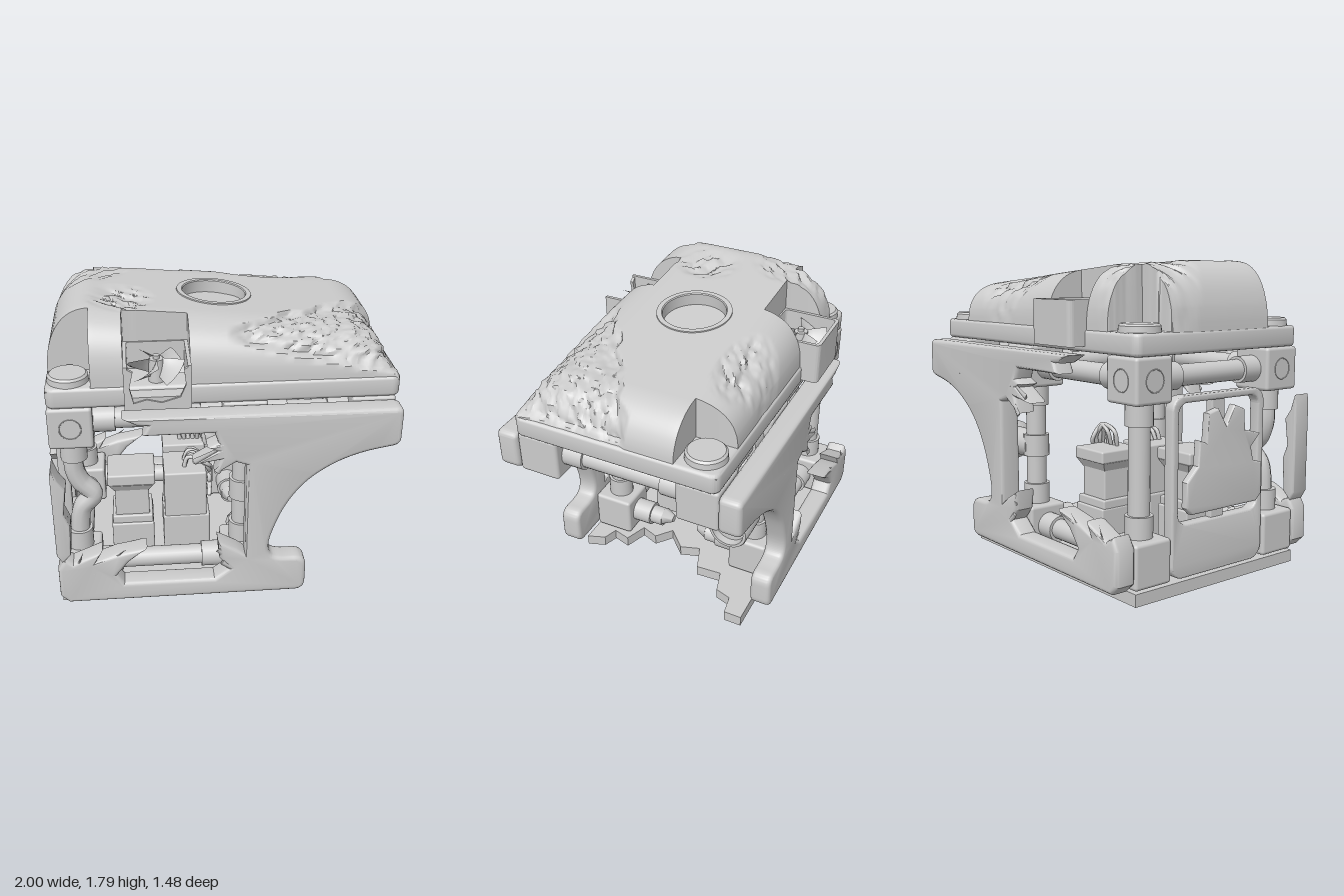
import * as THREE from 'three';
import { toCreasedNormals } from 'three/addons/utils/BufferGeometryUtils.js';
import { RoundedBoxGeometry } from 'three/addons/geometries/RoundedBoxGeometry.js';

const mat = new THREE.MeshStandardMaterial({ color: 0xcccccc, side: THREE.DoubleSide });
const V = (x, y, z) => new THREE.Vector3(x, y, z);
const points = (list) => list.map((p) => new THREE.Vector2(p[0], p[1]));
const clamp = (v) => Math.min(1, Math.max(0, v));
const hash = (i, j) => { const s = Math.sin(i * 127.1 + j * 311.7) * 43758.5453; return s - Math.floor(s); };

// smooth lattice noise, 0 to 1
function noise(x, y) {
  const i = Math.floor(x), j = Math.floor(y), u = x - i, v = y - j;
  const mix = THREE.MathUtils.lerp;
  return mix(mix(hash(i, j), hash(i + 1, j), u), mix(hash(i, j + 1), hash(i + 1, j + 1), u), v);
}

export function createModel() {
  const root = new THREE.Group();
  root.name = 'damagedFrameMachine';

  const add = (geo, name, x = 0, y = 0, z = 0, parent = root) => {
    const m = new THREE.Mesh(geo, mat);
    m.name = name;
    m.position.set(x, y, z);
    parent.add(m);
    return m;
  };
  const box = (name, w, h, d, x, y, z, r = 0.02) => add(new RoundedBoxGeometry(w, h, d, 2, r), name, x, y, z);
  const poly = (pts) => new THREE.Shape(points(pts));
  const lathe = (pts, n) => toCreasedNormals(new THREE.LatheGeometry(points(pts), n), 0.6);
  const roundRect = (x0, y0, x1, y1, r) => {
    const s = new THREE.Shape();
    s.absarc(x1 - r, y1 - r, r, 0, Math.PI / 2);
    s.absarc(x0 + r, y1 - r, r, Math.PI / 2, Math.PI);
    s.absarc(x0 + r, y0 + r, r, Math.PI, Math.PI * 1.5);
    s.absarc(x1 - r, y0 + r, r, Math.PI * 1.5, Math.PI * 2);
    return s;
  };
  // extrusion from z = 0 to z = depth, bevel kept inside the outline
  const extrude = (shape, depth, b = 0) => {
    const g = new THREE.ExtrudeGeometry(shape, {
      depth: depth - 2 * b, bevelEnabled: b > 0, bevelThickness: b, bevelSize: b, bevelOffset: -b, bevelSegments: 3, curveSegments: 12,
    });
    return toCreasedNormals(g.translate(0, 0, b), 0.6);
  };
  const rod = (a, b, r, name) => {
    const d = b.clone().sub(a);
    const m = add(new THREE.CylinderGeometry(r, r, d.length(), 24), name);
    m.position.copy(a).add(b).multiplyScalar(0.5);
    m.quaternion.setFromUnitVectors(V(0, 1, 0), d.normalize());
  };
  // pipe with a collar at each end
  const pipe = (a, b, name) => {
    rod(a, b, 0.06, name);
    const d = b.clone().sub(a).normalize().multiplyScalar(0.12);
    rod(a, a.clone().add(d), 0.077, name + 'Collar');
    rod(b.clone().sub(d), b, 0.077, name + 'Collar');
  };
  const tube = (pts, r, name) => add(new THREE.TubeGeometry(new THREE.CatmullRomCurve3(pts), 32, r, 10), name);

  // floor plate with a snapped-off end
  const floor = poly([[-0.96, -0.61], [0.4, -0.61], [0.36, -0.5], [0.27, -0.47], [0.3, -0.36], [0.16, -0.31], [0.2, -0.2], [0.1, -0.12],
    [0.22, 0], [0.18, 0.12], [0.34, 0.18], [0.33, 0.34], [0.47, 0.38], [0.5, 0.48], [0.62, 0.5], [0.62, 0.61], [-0.96, 0.61]]);
  add(extrude(floor, 0.07).rotateX(-Math.PI / 2), 'floorPlate');

  // curved side panels with torn edges
  const side = new THREE.Shape();
  side.moveTo(-0.91, 0.08);
  side.lineTo(0.43, 0.08);
  side.quadraticCurveTo(0.495, 0.08, 0.495, 0.15);
  side.lineTo(0.495, 0.25);
  side.quadraticCurveTo(0.495, 0.325, 0.42, 0.325);
  side.lineTo(0.35, 0.325);
  side.splineThru(points([[0.29, 0.345], [0.268, 0.41], [0.29, 0.52], [0.36, 0.69], [0.47, 0.84], [0.62, 0.95], [0.78, 1.015], [0.95, 1.05]]));
  side.quadraticCurveTo(0.995, 1.06, 0.995, 1.1);
  side.lineTo(0.995, 1.25);
  side.quadraticCurveTo(0.995, 1.29, 0.95, 1.29);
  [[-0.55, 1.29], [-0.46, 1.24], [-0.41, 1.24], [-0.44, 1.18], [-0.05, 1.18], [-0.03, 1.12], [-0.09, 1.09], [-0.04, 1.07], [-0.17, 0.99],
    [-0.02, 1.01], [-0.05, 0.92], [0.07, 0.99], [0.13, 0.97], [0.13, 0.36], [0.08, 0.4], [-0.03, 0.46], [-0.02, 0.34], [0.04, 0.27], [-0.05, 0.2],
    [-0.58, 0.2], [-0.62, 0.26], [-0.55, 0.35], [-0.44, 0.44], [-0.62, 0.41], [-0.74, 0.36], [-0.7, 0.43], [-0.87, 0.36], [-0.92, 0.39],
    [-0.96, 0.32], [-0.96, 0.13]].forEach((p) => side.lineTo(...p));
  for (const s of [1, -1]) {
    add(extrude(side, 0.13, 0.025), 'sidePanel', 0, 0, s > 0 ? 0.61 : -0.74);
    // splinters along the tears
    [[-0.05, 1.07, 0.5], [0.02, 1.01, 0.9], [0.1, 1.13, 0.6], [-0.78, 0.28, 0.4], [-0.66, 0.36, 0.7], [-0.85, 0.33, 1.2], [0.06, 0.3, -0.9],
      [0.1, 0.23, -0.7], [0.45, 1.1, 0.6], [0.7, 1.14, 0.45]].forEach(([x, y, a], i) => {
      const m = add(new THREE.ConeGeometry(0.02, 0.18 + 0.1 * hash(i, s), 4), 'splinter', x, y, s * 0.733);
      m.rotation.z = a - Math.PI / 2;
      m.scale.z = 0.4;
    });
  }
  const shard = poly([[-0.96, 0.42], [-0.93, 0.37], [-0.88, 0.42], [-0.87, 0.62], [-0.9, 0.7], [-0.88, 0.86], [-0.92, 0.92], [-0.95, 1.01], [-0.96, 0.95]]);
  add(extrude(shard, 0.12, 0.01), 'panelShard', 0, 0, 0.615);

  // corner blocks, rails and posts
  const mid = 0.135;
  for (const s of [1, -1]) {
    const z = 0.485 * s;
    for (const [x, y] of [[-0.835, 1.175], [mid, 1.175], [0.855, 1.175], [-0.835, 0.205], [mid, 0.205]]) {
      box('jointBlock', 0.25, 0.25, 0.25, x, y, z);
      add(new THREE.TorusGeometry(0.06, 0.003, 6, 28), 'jointRing', x, y, s * 0.61);
    }
    const ring = add(new THREE.TorusGeometry(0.06, 0.003, 6, 28), 'jointRing', -0.96, 1.175, z);
    ring.rotation.y = Math.PI / 2;
    pipe(V(-0.71, 1.175, z), V(mid - 0.125, 1.175, z), 'upperRail');
    pipe(V(mid + 0.125, 1.175, z), V(0.73, 1.175, z), 'upperRail');
    pipe(V(-0.71, 0.205, z), V(mid - 0.125, 0.205, z), 'lowerRail');
    pipe(V(mid, 0.33, z), V(mid, 1.05, z), 'middlePost');
    rod(V(mid, 0.62, z), V(mid, 0.75, z), 0.078, 'postSleeve');
    // snapped lower cross rail
    rod(V(mid, 0.205, s * 0.36), V(mid, 0.205, s * 0.24), 0.075, 'brokenRailCollar');
    rod(V(mid, 0.205, s * 0.24), V(mid, 0.205, s * 0.16), 0.06, 'brokenRail');
    const tip = add(new THREE.CylinderGeometry(0.025, 0.06, 0.07, 6), 'brokenRailTip', mid, 0.215, s * 0.125);
    tip.rotation.x = -s * Math.PI / 2;
  }
  for (const x of [-0.835, mid, 0.855]) pipe(V(x, 1.175, -0.36), V(x, 1.175, 0.36), 'upperCrossRail');
  pipe(V(-0.835, 0.205, -0.36), V(-0.835, 0.205, 0.36), 'lowerCrossRail');
  pipe(V(-0.835, 0.33, -0.485), V(-0.835, 1.05, -0.485), 'rearPost');
  rod(V(-0.835, 0.93, 0.485), V(-0.835, 1.05, 0.485), 0.077, 'bentPostCollar');
  rod(V(-0.835, 0.33, 0.485), V(-0.835, 0.45, 0.485), 0.077, 'bentPostCollar');
  tube([V(-0.835, 1, 0.485), V(-0.84, 0.86, 0.485), V(-0.81, 0.77, 0.485), V(-0.74, 0.68, 0.485), V(-0.81, 0.59, 0.485), V(-0.835, 0.4, 0.485)], 0.058, 'bentPost');

  // lamp on one middle post, snapped mount on the other
  const lamp = [[0, 0], [0.085, 0], [0.085, 0.2], [0.12, 0.23], [0.12, 0.425], [0.115, 0.435], [0.098, 0.435], [0.095, 0.39], [0, 0.39]];
  add(lathe(lamp, 40).rotateZ(-Math.PI / 2), 'lamp', mid, 0.68, -0.485);
  rod(V(mid, 0.68, 0.485), V(0.23, 0.68, 0.485), 0.055, 'lampMount');

  // window frame at the end, with broken pane
  const frame = roundRect(-0.35, 0.08, 0.35, 1.08, 0.08);
  frame.holes.push(roundRect(-0.305, 0.38, 0.305, 1.04, 0.06));
  add(extrude(frame, 0.07, 0.01).rotateY(Math.PI / 2), 'endFrame', -0.95);
  const pane = poly([[-0.25, 0.44], [0.25, 0.44], [0.29, 0.48], [0.29, 0.62], [0.21, 0.7], [0.2, 0.84], [0.15, 0.82], [0.14, 0.98], [0.06, 1],
    [0, 0.9], [-0.06, 1.01], [-0.14, 0.98], [-0.15, 0.86], [-0.27, 0.83], [-0.2, 0.76], [-0.22, 0.68], [-0.29, 0.66], [-0.29, 0.48]]);
  add(extrude(pane, 0.05, 0.012).rotateY(Math.PI / 2), 'brokenPane', -1);
  box('windowBar', 0.05, 0.76, 0.1, -0.91, 0.7, 0, 0.01);

  // inner pedestals with loose cables
  for (const [x, z, cx, cz] of [[-0.52, 0.18, 0.29, 0.27], [-0.18, -0.18, 0.27, 0.29]]) {
    box('pedestalBase', 0.26, 0.27, 0.28, x, 0.2, z, 0.01);
    box('pedestalStep', 0.25, 0.06, 0.25, x, 0.355, z, 0.01);
    box('pedestalBody', 0.21, 0.24, 0.21, x, 0.49, z, 0.01);
    const flare = add(new THREE.CylinderGeometry(0.19, 0.15, 0.05, 4).toNonIndexed().rotateY(Math.PI / 4), 'pedestalFlare', x, 0.585, z);
    flare.geometry.computeVertexNormals();
    box('pedestalCap', cx, 0.075, cz, x, 0.645, z, 0.012);
  }
  box('cableBox', 0.26, 0.42, 0.28, -0.19, 0.47, 0.175, 0.012);
  box('cableBoxStep', 0.29, 0.28, 0.29, -0.185, 0.24, 0.175, 0.015);
  for (let i = 0; i < 5; i++) {
    const o = i * 0.028, k = hash(i, 3) * 0.07;
    tube([V(-0.2, 0.64, 0.12 + o), V(-0.17 + k / 2, 0.74, 0.11 + o), V(-0.05, 0.7 - k, 0.13 + o), V(-0.02 - k / 3, 0.6 - k, 0.2 - o / 2), V(-0.04, 0.47 + k, 0.14 + o)], 0.013, 'cable');
    tube([V(-0.2 + o, 0.67, -0.12), V(-0.2 + o, 0.77, -0.1 - k), V(-0.13 + k, 0.8, -0.15), V(-0.06, 0.76 - k, -0.2 + o), V(-0.04, 0.66, -0.18 + o)], 0.013, 'cable');
  }

  // roof rim
  add(extrude(roundRect(-0.96, -0.61, 1, 0.61, 0.05), 0.12, 0.02).rotateX(-Math.PI / 2), 'roofRim', 0, 1.3);

  // domed roof as a height rule, with three corner notches, fan slots and dented patches
  const lines = (a, b, steps, extra) => {
    const l = [...extra];
    for (let i = 0; i <= 120; i++) l.push(a + ((b - a) * i) / 120);
    for (const s of steps) l.push(s - 0.001, s + 0.001);
    return l.sort((p, q) => p - q);
  };
  const xs = lines(-0.955, 0.99, [-0.71, -0.53, -0.17, 0.73], [-0.953, -0.95, -0.944, 0.98, 0.985, 0.988]);
  const zs = lines(-0.6, 0.6, [-0.36, 0.36], [-0.599, -0.597, -0.593, 0.593, 0.597, 0.599]);
  const height = (x, z) => {
    const az = Math.abs(z);
    if (az > 0.36 && (x < -0.71 || (x > 0.73 && z < 0) || (x > -0.53 && x < -0.17))) return 1.4;
    if (Math.hypot(x - 0.01, z) < 0.198) return 1.65;
    const hx = x < -0.68 ? clamp((-0.68 - x) / 0.275) : clamp((x - 0.75) / 0.24);
    const hz = clamp((az - 0.28) / 0.32);
    const f = Math.pow(1 - hx ** 2.2, 0.45) * Math.pow(1 - hz ** 2.5, 0.38);
    return 1.4 + (1.79 - 0.09 * (x + 0.7) - 1.4) * f;
  };
  const patches = [[-0.74, -0.34, 0.26, 0.28], [0.35, -0.47, 0.32, 0.15], [-0.54, 0.17, 0.2, 0.22]];
  const dent = ({ x, y, z }) => {
    const u = x + 1.7 - y, v = Math.abs(z) + 1.7 - y;
    const big = clamp((z - 0.52 + (x - 0.05) * 0.6 + 0.08 * noise(x * 14, z * 14)) / 0.05) * clamp((x - 0.05) / 0.1)
      * clamp((y - 1.64 + 0.22 * x) / 0.04);
    let d = big * (0.015 + 0.03 * noise(u * 22, v * 22) + 0.015 * noise(u * 45, v * 45));
    for (const [px, pz, rx, rz] of patches) {
      const m = clamp(2 * (1 - Math.hypot((x - px) / rx, (z - pz) / rz)));
      d += m * 0.05 * noise((u + v) * 10, (u - v) * 26);
    }
    return d;
  };
  const pos = [], idx = [], n = zs.length;
  xs.forEach((x, i) => zs.forEach((z, j) => {
    const p = V(x, height(x, z), z);
    if (p.y > 1.43 && Math.hypot(x, z) > 0.25) p.add(V(x * 0.5, 1.3, z * 0.3).sub(p).normalize().multiplyScalar(dent(p)));
    pos.push(p.x, p.y, p.z);
    if (i && j) {
      const a = (i - 1) * n + j - 1, b = i * n + j - 1;
      idx.push(a, a + 1, b, b, a + 1, b + 1);
    }
  }));
  const roof = new THREE.BufferGeometry();
  roof.setAttribute('position', new THREE.Float32BufferAttribute(pos, 3));
  roof.setIndex(idx);
  add(toCreasedNormals(roof, 0.6), 'roof');

  // round opening on top
  const well = [[0, -0.07], [0.185, -0.07], [0.185, 0], [0.19, 0.006], [0.219, 0.006], [0.222, -0.02]];
  add(lathe(well, 56), 'topWell', 0.01, 1.727, 0).rotation.z = -0.09;

  // corner caps
  for (const [x, z] of [[-0.835, 0.485], [-0.835, -0.485], [0.86, -0.485]]) {
    add(lathe([[0.115, 0], [0.112, 0.038], [0.1, 0.05], [0, 0.05]], 36), 'cornerCap', x, 1.415, z);
  }

  for (const s of [1, -1]) {
    // fan housing, its front wall broken open
    const fan = new THREE.Group();
    fan.name = 'fanUnit';
    fan.position.set(-0.35, 0, s * 0.53);
    root.add(fan);
    if (s < 0) {
      const rim = roundRect(-0.18, -0.18, 0.18, 0.18, 0.03);
      rim.holes.push(roundRect(-0.16, -0.16, 0.16, 0.16, 0.02));
      add(extrude(rim, 0.25).rotateX(-Math.PI / 2), 'fanHousing', 0, 1.33, 0, fan);
    } else {
      for (const x of [-0.17, 0.17]) add(new THREE.BoxGeometry(0.02, 0.25, 0.36), 'fanHousingSide', x, 1.455, 0, fan);
      add(new THREE.BoxGeometry(0.36, 0.25, 0.02), 'fanHousingBack', 0, 1.455, -0.17, fan);
      const wall = poly([[-0.18, 1.33], [0.18, 1.33], [0.18, 1.58], [0.14, 1.56], [0.15, 1.47], [0.12, 1.4], [0.02, 1.37], [-0.06, 1.39],
        [-0.13, 1.37], [-0.15, 1.46], [-0.13, 1.55], [-0.18, 1.58]]);
      add(extrude(wall, 0.02), 'brokenFanWall', 0, 0, 0.16, fan);
    }
    add(new THREE.BoxGeometry(0.34, 0.06, 0.34), 'fanFloor', 0, 1.37, 0, fan);
    add(new THREE.CylinderGeometry(0.04, 0.045, 0.14, 24), 'fanHub', 0, 1.48, 0, fan);
    add(new THREE.CylinderGeometry(0.018, 0.018, 0.02, 16), 'fanPin', 0, 1.56, 0, fan);
    for (let i = 0; i < 5; i++) {
      const blade = add(new THREE.RingGeometry(0.035, 0.158, 10, 3, 0, 1).rotateX(-Math.PI / 2), 'fanBlade', 0, 1.505, 0, fan);
      const p = blade.geometry.attributes.position;
      for (let k = 0; k < p.count; k++) p.setY(k, (Math.atan2(-p.getZ(k), p.getX(k)) - 0.5) * 0.1);
      blade.geometry.computeVertexNormals();
      blade.rotation.y = (i * Math.PI * 2) / 5;
    }
  }
  return root;
}
